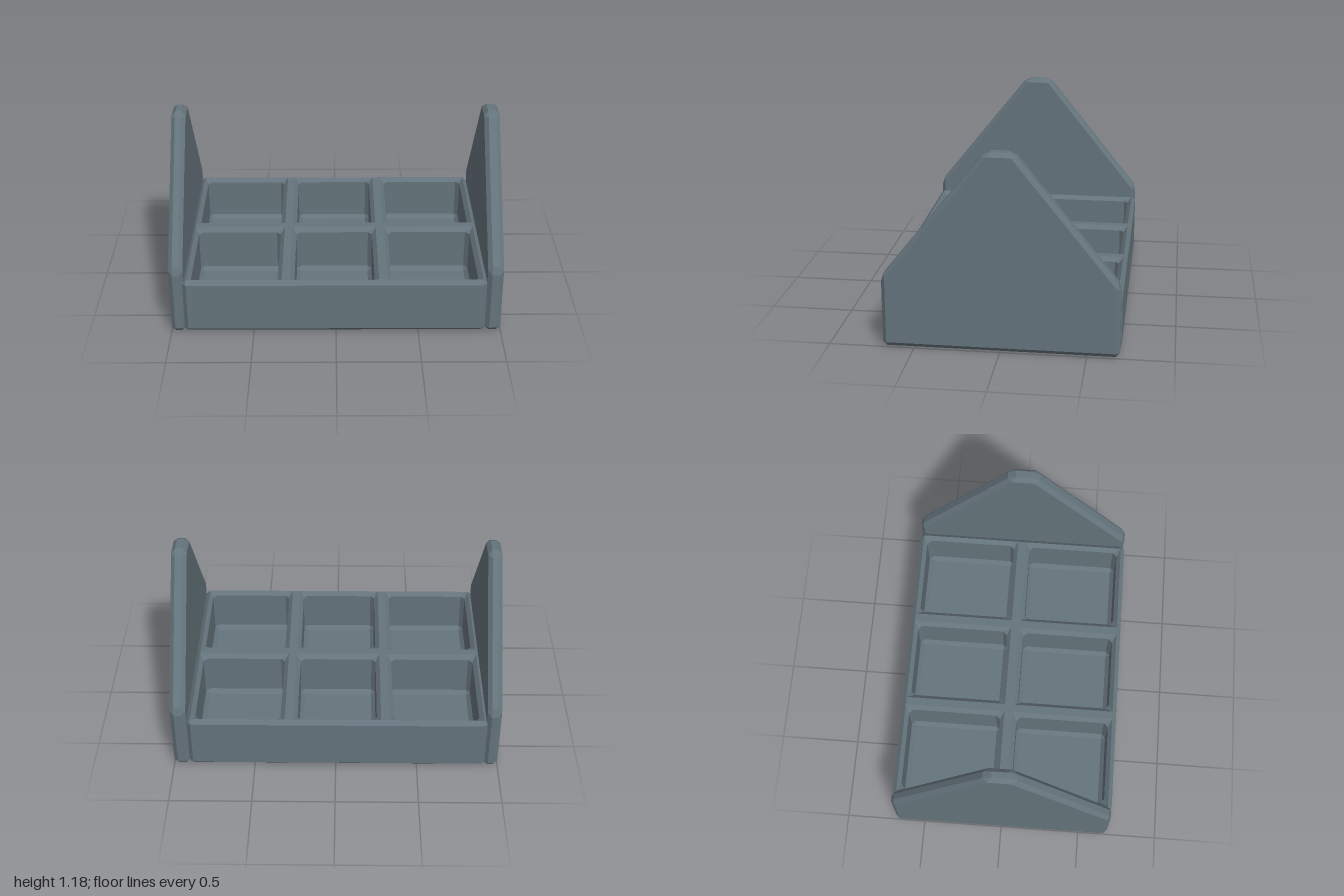
import * as THREE from 'three';
import { ConvexGeometry } from 'three/addons/geometries/ConvexGeometry.js';

const B = 0.025; // bevel width used everywhere

// Rectangle in the xz plane with its four corners cut off
function ring(x0, x1, z0, z1, y, cut) {
  return [
    [x1, z0 + cut], [x1, z1 - cut], [x1 - cut, z1], [x0 + cut, z1],
    [x0, z1 - cut], [x0, z0 + cut], [x0 + cut, z0], [x1 - cut, z0],
  ].map(([x, z]) => new THREE.Vector3(x, y, z));
}

// Flat-shaded skin over rings listed upward, closed at the lowest; flip faces it inward
function loft(rings, flip) {
  const pos = [];
  const tri = (a, b, c) => {
    if (a.equals(b) || b.equals(c) || a.equals(c)) return;
    for (const p of flip ? [a, c, b] : [a, b, c]) pos.push(p.x, p.y, p.z);
  };
  const first = rings[0], n = first.length;
  for (let i = 1; i < n - 1; i++) tri(first[0], first[i], first[i + 1]);
  for (let k = 0; k < rings.length - 1; k++) {
    const a = rings[k], b = rings[k + 1];
    for (let i = 0; i < n; i++) {
      const j = (i + 1) % n;
      tri(a[i], b[i], a[j]);
      tri(a[j], b[i], b[j]);
    }
  }
  const g = new THREE.BufferGeometry();
  g.setAttribute('position', new THREE.Float32BufferAttribute(pos, 3));
  g.computeVertexNormals();
  return g;
}

// Gable-shaped end panel with bevelled edges between x0 and x1
function panelGeometry(x0, x1) {
  const face = [[0.663, 0.027], [0.663, 0.42], [0.068, 1.16]];
  const band = [[0.663, 0], [0.687, 0.027], [0.687, 0.4], [0.67, 0.45], [0.1, 1.16], [0.05, 1.185]];
  const points = [];
  const add = (x, outline) => {
    for (const [z, y] of outline) {
      points.push(new THREE.Vector3(x, y, z), new THREE.Vector3(x, y, -z));
    }
  };
  add(x0, face);
  add(x0 + B, band);
  add(x1 - B, band);
  add(x1, face);
  return new ConvexGeometry(points);
}

export function createModel() {
  const model = new THREE.Group();
  model.name = 'compartmentTray';
  const slate = new THREE.MeshStandardMaterial({ color: 0x65747c });
  slate.name = 'slateGrey';

  const add = (name, geometry, parent = model) => {
    const mesh = new THREE.Mesh(geometry, slate);
    mesh.name = name;
    parent.add(mesh);
    return mesh;
  };

  // End panels
  add('rightEndPanel', panelGeometry(-1, -0.914));
  add('leftEndPanel', panelGeometry(0.905, 1));

  const tray = new THREE.Group();
  tray.name = 'tray';
  model.add(tray);

  // Outer walls and underside
  const X0 = -0.922, X1 = 0.905, Z = 0.692, bottom = 0.005, top = 0.36, floor = 0.06;
  const outer = (inset, y, cut) => ring(X0 + inset, X1 - inset, -Z + inset, Z - inset, y, cut);
  add('outerShell', loft([
    outer(B, bottom, 0), outer(0, bottom + B, B), outer(0, top - B, B), outer(B, top, 0),
  ], false), tray);

  // Six pockets, three across and two deep
  const columns = [[X0 + B, -0.325], [-0.275, 0.257], [0.308, X1 - B]];
  const rows = [[-Z + B, -0.028], [0.028, Z - B]];
  for (const [x0, x1] of columns) {
    for (const [z0, z1] of rows) {
      const inner = (inset, y, cut) => ring(x0 + inset, x1 - inset, z0 + inset, z1 - inset, y, cut);
      add('pocket', loft([
        inner(2 * B, floor, 0), inner(B, floor + B, B), inner(B, top - B, B), inner(0, top, 0),
      ], true), tray);
    }
  }

  // Flat tops of the dividers
  const strip = (name, x0, x1, z0, z1) => {
    const g = new THREE.PlaneGeometry(x1 - x0, z1 - z0).rotateX(-Math.PI / 2);
    add(name, g.translate((x0 + x1) / 2, top, (z0 + z1) / 2), tray);
  };
  strip('longDividerTop', X0 + B, X1 - B, rows[0][1], rows[1][0]);
  for (let i = 0; i < 2; i++) {
    for (const [z0, z1] of rows) strip('crossDividerTop', columns[i][1], columns[i + 1][0], z0, z1);
  }

  return model;
}
